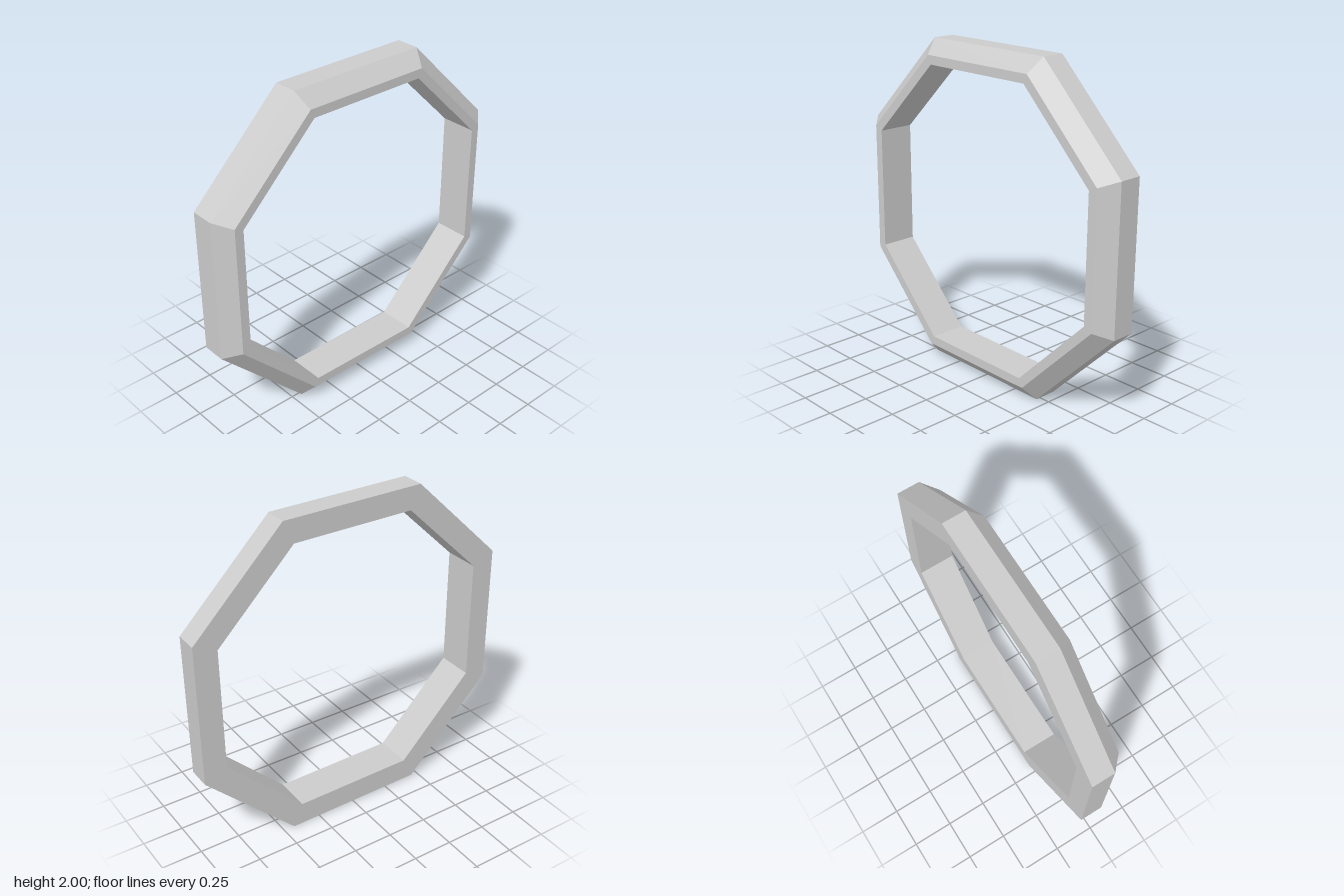
import * as THREE from 'three';

// Ring outline as [z, y] corners: a slightly tilted, hand-cut octagon
const CORNERS = [
  [0.434, 2.0], [-0.444, 1.996], [-1.0, 1.437], [-0.993, 0.56],
  [-0.431, 0.0], [0.45, 0.01], [1.0, 0.576], [1.0, 1.449],
];
const CENTRE_Y = 1.005;

// Band section as [x, scale of the outline]; one outer edge is bevelled
const SECTION = [
  [-0.113, 1], [0.028, 1], [0.113, 0.912], [0.113, 0.858], [-0.113, 0.858],
];

function ringPoint(i, s) {
  const [z, y] = CORNERS[i % CORNERS.length];
  const [x, k] = SECTION[s % SECTION.length];
  return [x, CENTRE_Y + (y - CENTRE_Y) * k, z * k];
}

// Sweep the section round the outline with separate flat faces
function ringGeometry() {
  const positions = [];
  for (let i = 0; i < CORNERS.length; i++) {
    for (let s = 0; s < SECTION.length; s++) {
      const a = ringPoint(i, s), b = ringPoint(i, s + 1);
      const c = ringPoint(i + 1, s + 1), d = ringPoint(i + 1, s);
      positions.push(...a, ...b, ...c, ...a, ...c, ...d);
    }
  }
  const geometry = new THREE.BufferGeometry();
  geometry.setAttribute('position', new THREE.Float32BufferAttribute(positions, 3));
  geometry.computeVertexNormals();
  return geometry;
}

export function createModel() {
  const model = new THREE.Group();
  model.name = 'octagonalRing';
  const material = new THREE.MeshStandardMaterial({ color: 0xcccccc, flatShading: true });
  const ring = new THREE.Mesh(ringGeometry(), material);
  ring.name = 'bevelledBand';
  model.add(ring);
  return model;
}
